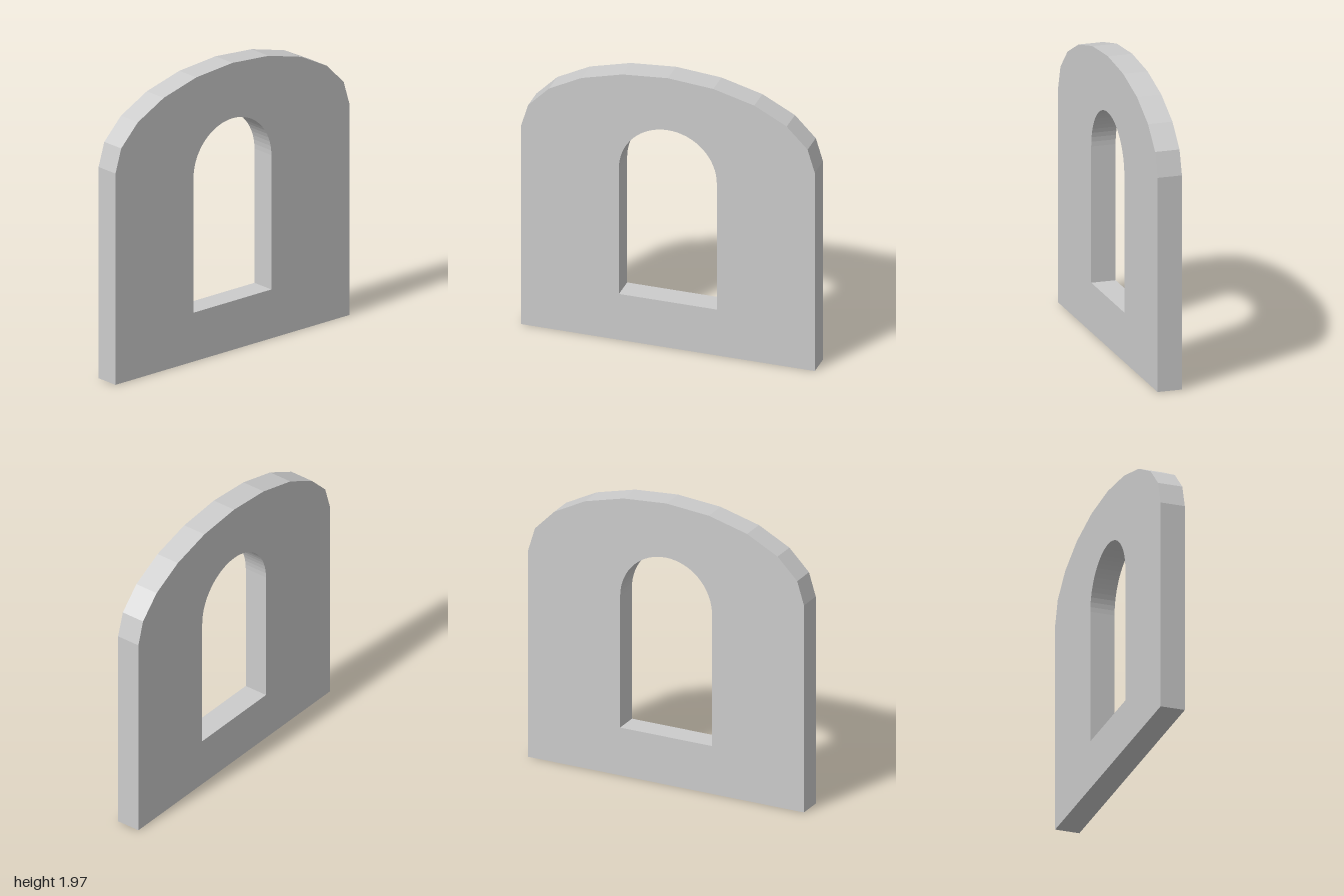
import * as THREE from 'three';

// Closed outline: straight jambs topped by a half-ellipse arch
function archOutline(halfWidth, bottom, spring, rise, segments) {
  const points = [
    new THREE.Vector2(-halfWidth, bottom),
    new THREE.Vector2(halfWidth, bottom),
  ];
  for (let i = 0; i <= segments; i++) {
    const a = (Math.PI * i) / segments;
    points.push(new THREE.Vector2(halfWidth * Math.cos(a), spring + rise * Math.sin(a)));
  }
  return points;
}

export function createModel() {
  const group = new THREE.Group();
  group.name = 'archedWall';
  const depth = 0.166;

  // Wall slab with a coarse, faceted arched top
  const shape = new THREE.Shape(archOutline(1, 0, 1.45, 0.52, 10));
  // Window opening with a fine round arch
  shape.holes.push(new THREE.Path(archOutline(0.333, 0.335, 1.257, 0.333, 32)));

  const geometry = new THREE.ExtrudeGeometry(shape, { depth, bevelEnabled: false });
  geometry.translate(0, 0, -depth / 2);

  const wall = new THREE.Mesh(
    geometry,
    new THREE.MeshStandardMaterial({ color: 0xcccccc, flatShading: true })
  );
  wall.name = 'wallWithArchedOpening';
  group.add(wall);
  return group;
}
